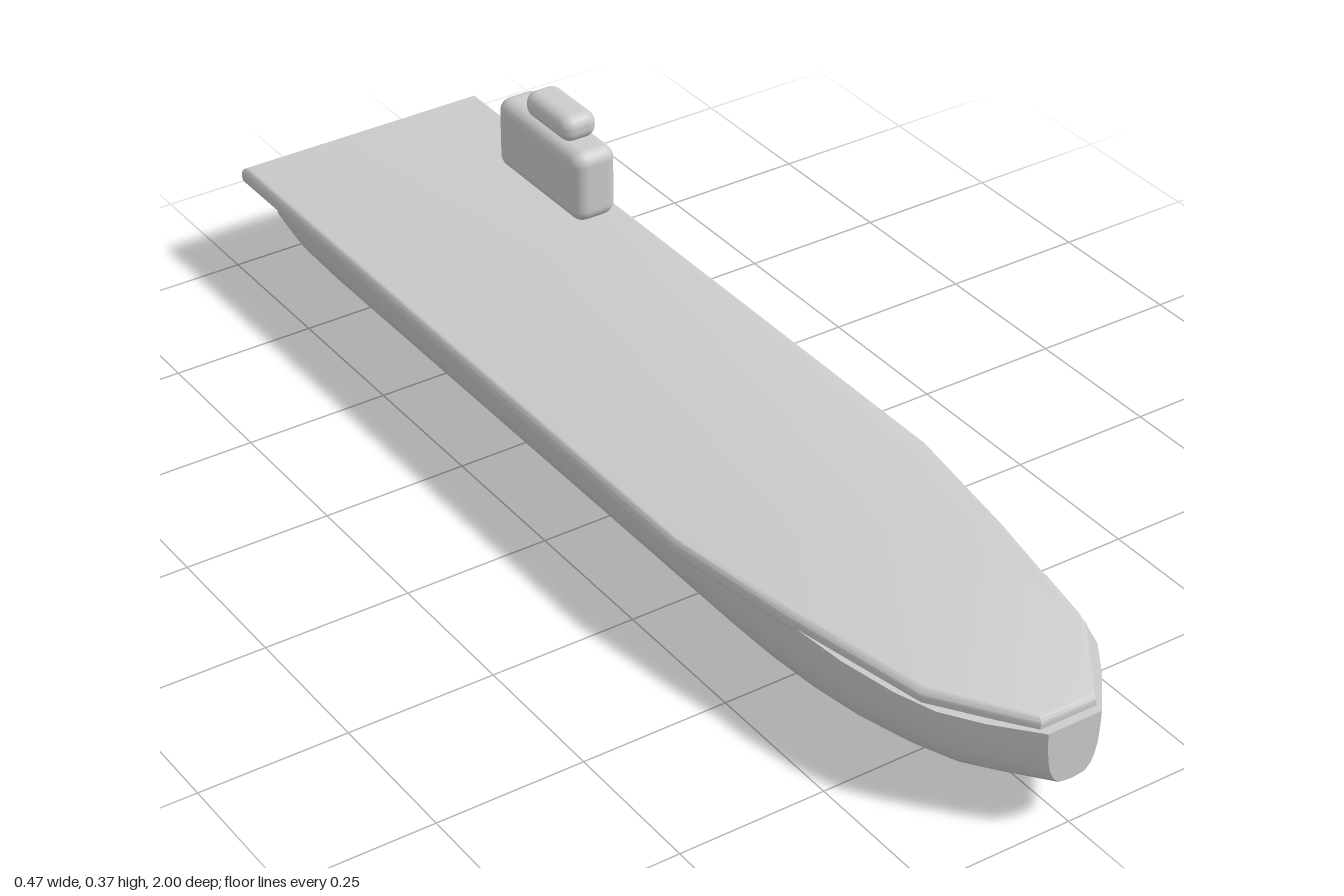
import * as THREE from 'three';
import { RoundedBoxGeometry } from 'three/addons/geometries/RoundedBoxGeometry.js';
import { toCreasedNormals } from 'three/addons/utils/BufferGeometryUtils.js';

const material = new THREE.MeshStandardMaterial({ color: 0xcccccc });

function addMesh(parent, name, geometry, x = 0, y = 0, z = 0) {
  const mesh = new THREE.Mesh(geometry, material);
  mesh.name = name;
  mesh.position.set(x, y, z);
  parent.add(mesh);
}

// Half section, as fractions of half width and height, from gunwale to keel
const HALF = [[1, 1], [0.975, 0.72], [0.925, 0.47], [0.825, 0.27], [0.7, 0.135], [0.48, 0.03], [0, 0]];
const SECTION = [...HALF, ...HALF.slice(0, -1).reverse().map(([x, y]) => [-x, y])];

// Hull stations: z, half width, keel height, top height
const STATIONS = [
  [-1, 0.178, 0.004, 0.16], [-0.92, 0.195, 0.003, 0.172], [-0.8, 0.2, 0.002, 0.175],
  [0.4, 0.2, 0.002, 0.178], [0.5, 0.2, 0.006, 0.178], [0.6, 0.196, 0.014, 0.178],
  [0.7, 0.187, 0.026, 0.178], [0.8, 0.168, 0.041, 0.178], [0.87, 0.145, 0.053, 0.178],
  [0.93, 0.105, 0.065, 0.178], [1, 0.048, 0.081, 0.18],
];

function hullGeometry() {
  const n = SECTION.length;
  const positions = [];
  const index = [];
  for (const [z, w, keel, top] of STATIONS) {
    for (const [x, y] of SECTION) positions.push(x * w, keel + y * (top - keel), z);
  }
  for (let s = 0; s < STATIONS.length - 1; s++) {
    for (let i = 0; i < n; i++) {
      const a = s * n + i;
      const b = s * n + (i + 1) % n;
      index.push(a, a + n, b, b, a + n, b + n);
    }
  }
  // Transom and blunt bow
  const bow = (STATIONS.length - 1) * n;
  for (let i = 1; i < n - 1; i++) index.push(0, i, i + 1, bow, bow + i + 1, bow + i);
  const geometry = new THREE.BufferGeometry();
  geometry.setAttribute('position', new THREE.Float32BufferAttribute(positions, 3));
  geometry.setIndex(index);
  return toCreasedNormals(geometry, 0.7);
}

// Flat deck with a tapered bow and rounded rim
function deckGeometry() {
  const side = [[0.235, -0.99], [0.235, 0.34], [0.2, 0.58], [0.15, 0.84], [0.05, 0.985]];
  const outline = [...side, ...side.map(([x, z]) => [-x, z]).reverse()];
  const shape = new THREE.Shape(outline.map(([x, z]) => new THREE.Vector2(x, z)));
  const bevel = 0.012;
  const thickness = 0.034;
  const geometry = new THREE.ExtrudeGeometry(shape, {
    depth: thickness - 2 * bevel, bevelThickness: bevel, bevelSize: bevel,
    bevelOffset: -bevel, bevelSegments: 4,
  });
  geometry.rotateX(Math.PI / 2);
  geometry.translate(0, 0.199 - bevel, 0);
  return toCreasedNormals(geometry, 0.6);
}

export function createModel() {
  const ship = new THREE.Group();
  ship.name = 'ship';
  addMesh(ship, 'hull', hullGeometry());
  addMesh(ship, 'deck', deckGeometry());

  // Two-tier tower on the deck's left edge
  const tower = new THREE.Group();
  tower.name = 'tower';
  addMesh(tower, 'towerBase', new RoundedBoxGeometry(0.082, 0.132, 0.26, 4, 0.024), 0.177, 0.263, -0.628);
  addMesh(tower, 'towerTop', new RoundedBoxGeometry(0.067, 0.048, 0.136, 4, 0.021), 0.177, 0.351, -0.612);
  ship.add(tower);
  return ship;
}
